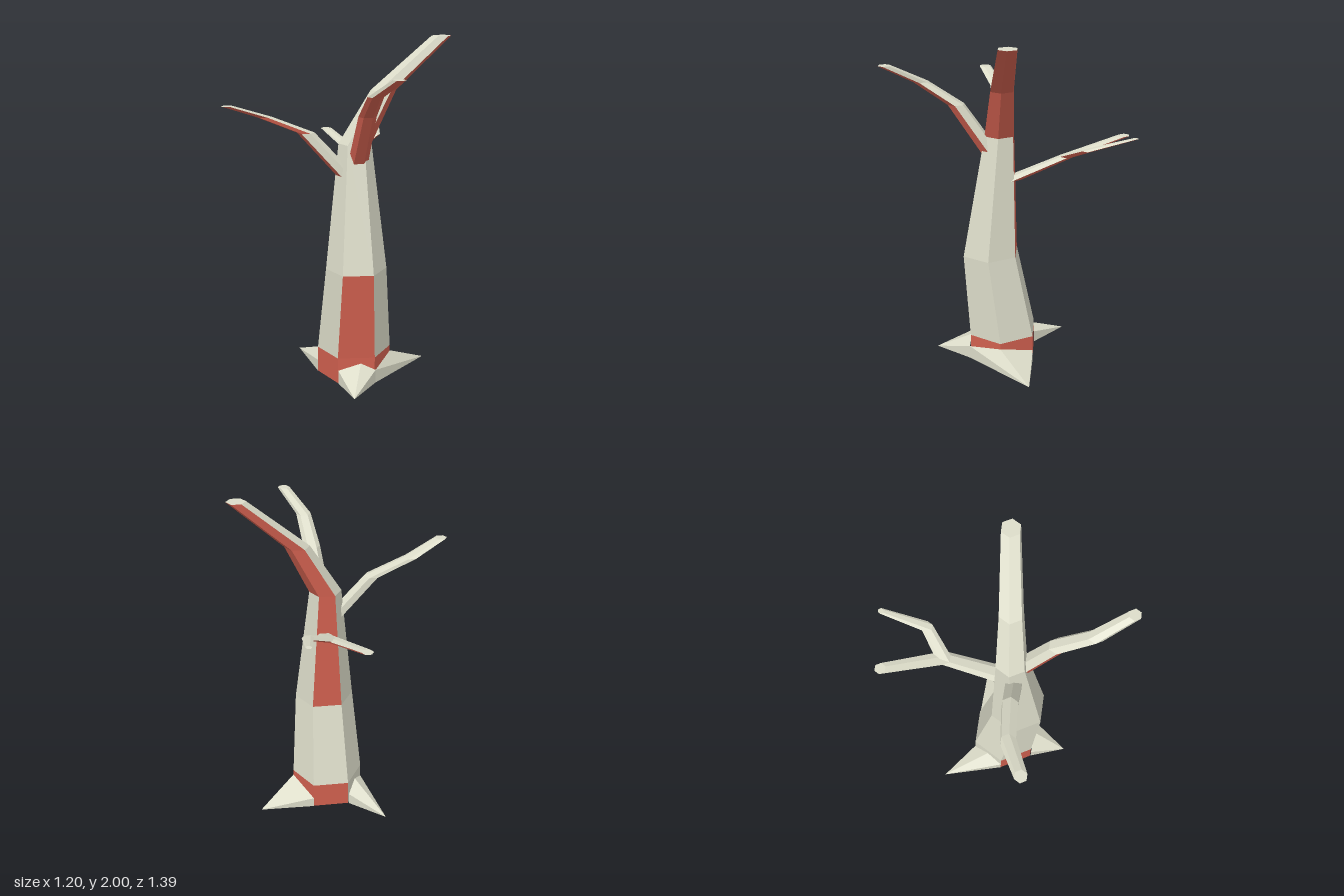
import * as THREE from 'three';

const bark = new THREE.MeshStandardMaterial({ color: 0xdcdcc9, flatShading: true, side: THREE.DoubleSide });
bark.name = 'paleBark';
const red = new THREE.MeshStandardMaterial({ color: 0xd0604f, flatShading: true, side: THREE.DoubleSide });
red.name = 'redBark';

const SIDES = 6;
const START = Math.PI / 4;

// One corner of a level six-sided ring [x, y, z, radius]
function corner([x, y, z, r], i) {
  const a = START + (i % SIDES) * Math.PI * 2 / SIDES;
  return new THREE.Vector3(x + r * Math.cos(a), y, z + r * Math.sin(a));
}

// Mesh from triangles, split into pale and red material groups
function paintedMesh(name, pale, painted) {
  const points = [...pale, ...painted];
  const geo = new THREE.BufferGeometry().setFromPoints(points);
  geo.addGroup(0, pale.length, 0);
  geo.addGroup(pale.length, painted.length, 1);
  geo.computeVertexNormals();
  const mesh = new THREE.Mesh(geo, [bark, red]);
  mesh.name = name;
  return mesh;
}

// Faceted limb through level rings; isRed(band, side, normalY) picks the colour
function limb(name, rings, isRed, cap = true) {
  const pale = [], painted = [];
  for (let b = 0; b < rings.length - 1; b++) {
    for (let i = 0; i < SIDES; i++) {
      const l0 = corner(rings[b], i), l1 = corner(rings[b], i + 1);
      const u0 = corner(rings[b + 1], i), u1 = corner(rings[b + 1], i + 1);
      const n = u0.clone().sub(l0).cross(l1.clone().sub(l0));
      (isRed(b, i, n.y) ? painted : pale).push(l0, u0, u1, l0, u1, l1);
    }
  }
  if (cap) {
    const top = rings[rings.length - 1];
    const c = new THREE.Vector3(top[0], top[1], top[2]);
    for (let i = 0; i < SIDES; i++) pale.push(c, corner(top, i + 1), corner(top, i));
  }
  return paintedMesh(name, pale, painted);
}

// Root wedge: a ridge from peak to tip, with a flank down to each side
function root(name, tip, peak, sideA, sideB, heightA, heightB) {
  const v = (p) => new THREE.Vector3(...p);
  const t = v(tip), p = v(peak);
  const aTop = v([sideA[0], heightA, sideA[1]]), aLow = v([sideA[0], 0, sideA[1]]);
  const bTop = v([sideB[0], heightB, sideB[1]]), bLow = v([sideB[0], 0, sideB[1]]);
  return paintedMesh(name, [t, aTop, p, t, aLow, aTop, t, p, bTop, t, bTop, bLow], []);
}

export function createModel() {
  const tree = new THREE.Group();
  tree.name = 'bareTree';
  const underside = (band, side, ny) => ny < 0;

  // Trunk: red sides listed for each band from the ground up
  const redSides = [[0, 1, 3, 4, 5], [0], [3]];
  tree.add(limb('trunk', [
    [0.08, 0, 0.1, 0.217],
    [0.08, 0.155, 0.1, 0.217],
    [0.105, 0.67, 0.165, 0.177],
    [0.085, 1.4, 0.11, 0.095],
  ], (band, side) => redSides[band].includes(side), false));

  // Main bough continuing the trunk
  tree.add(limb('mainBough', [
    [0.085, 1.4, 0.11, 0.095],
    [0.235, 1.7, 0.04, 0.073],
    [0.545, 2, -0.098, 0.057],
  ], underside));

  // Side branches
  const branches = {
    rightBranch: [
      [0.04, 1.22, 0.15, 0.055], [-0.18, 1.47, 0.21, 0.05],
      [-0.4, 1.565, 0.29, 0.045], [-0.568, 1.64, 0.428, 0.037],
    ],
    frontBranch: [
      [0.11, 1.29, 0.15, 0.058], [0.195, 1.59, 0.33, 0.05],
      [0.27, 1.725, 0.51, 0.044], [0.415, 1.835, 0.66, 0.036],
    ],
    backBranch: [
      [0.085, 1.14, 0.03, 0.055], [0, 1.28, -0.27, 0.043],
    ],
    backForkLeft: [
      [0, 1.28, -0.27, 0.043], [0.11, 1.36, -0.42, 0.034], [0.066, 1.44, -0.68, 0.018],
    ],
    backForkRight: [
      [0, 1.28, -0.27, 0.043], [-0.228, 1.365, -0.555, 0.034],
    ],
  };
  for (const [name, rings] of Object.entries(branches)) {
    tree.add(limb(name, rings, underside, name !== 'backBranch'));
  }

  // Roots spreading from the foot of the trunk
  tree.add(
    root('frontRoot', [0.16, 0, 0.505], [0.155, 0.12, 0.275], [0.027, 0.313], [0.24, 0.258], 0.08, 0.08),
    root('leftRoot', [0.46, 0, -0.19], [0.291, 0.12, 0.044], [0.24, 0.258], [0.136, -0.112], 0.08, 0.06),
    root('rightRoot', [-0.325, 0, -0.17], [-0.105, 0.12, 0.05], [-0.08, -0.055], [-0.131, 0.156], 0.07, 0.07),
  );
  return tree;
}
